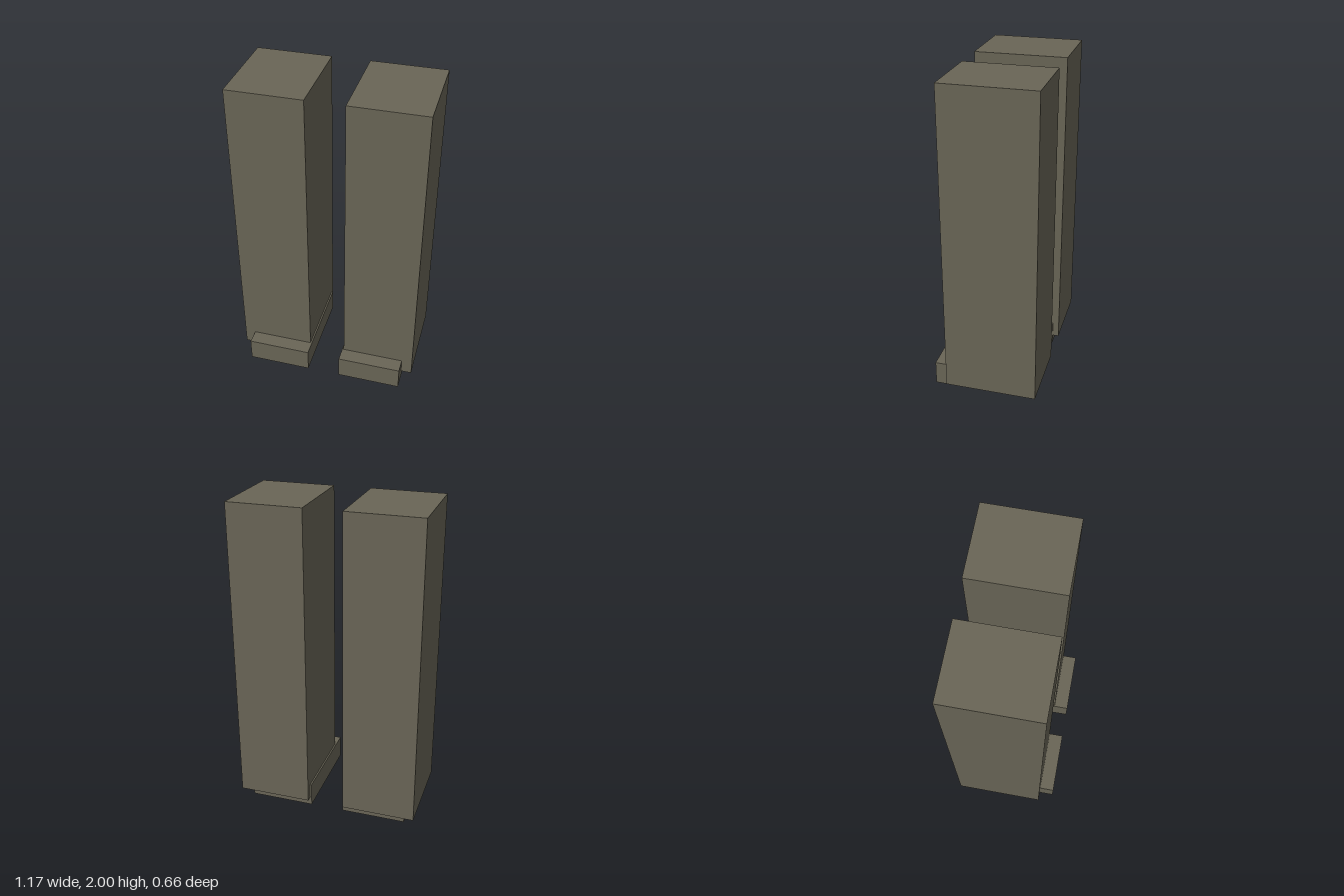
import * as THREE from 'three';

const olive = new THREE.MeshStandardMaterial({ color: 0x696556 });
olive.name = 'olive grey';

// Box given by its lower and upper corners
function boxBetween(name, [x0, y0, z0], [x1, y1, z1]) {
  const mesh = new THREE.Mesh(new THREE.BoxGeometry(Math.abs(x1 - x0), y1 - y0, z1 - z0), olive);
  mesh.position.set((x0 + x1) / 2, (y0 + y1) / 2, (z0 + z1) / 2);
  mesh.name = name;
  return mesh;
}

export function createModel() {
  const model = new THREE.Group();
  model.name = 'legs';

  // One leg and foot per side, mirrored across x
  for (const [side, s] of [['left', 1], ['right', -1]]) {
    const limb = new THREE.Group();
    limb.name = `${side}Limb`;
    limb.add(
      boxBetween(`${side}Leg`, [s * 0.117, 0.055, -0.333], [s * 0.584, 2, 0.238]),
      boxBetween(`${side}Foot`, [s * 0.107, 0, -0.293], [s * 0.516, 0.152, 0.332])
    );
    model.add(limb);
  }
  return model;
}
